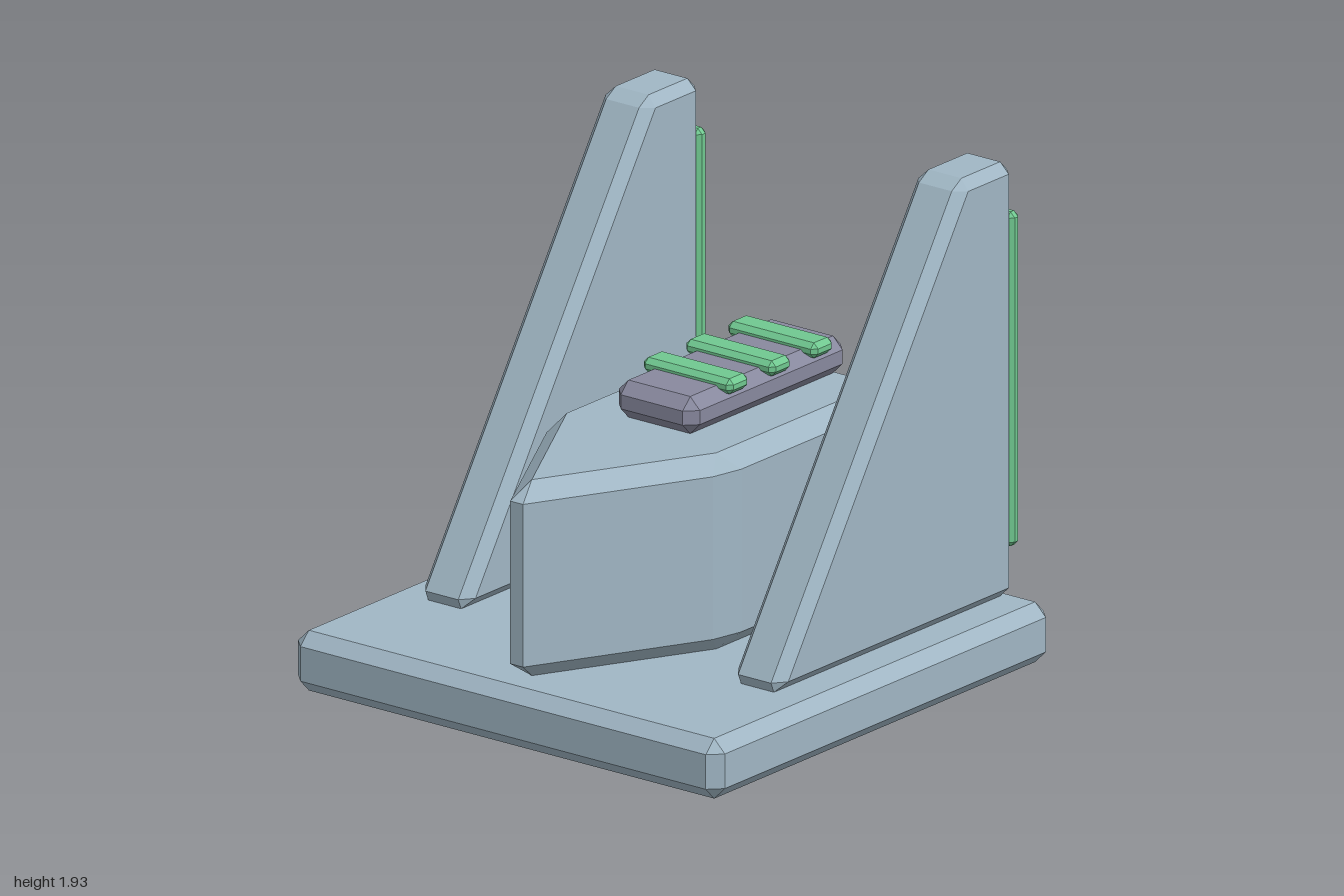
import * as THREE from 'three';
import { ConvexGeometry } from 'three/addons/geometries/ConvexGeometry.js';

const material = (name, color) => {
  const m = new THREE.MeshStandardMaterial({ color });
  m.name = name;
  return m;
};

// Box given by its limits, with every edge cut by a flat chamfer c
function chamferBox([x0, x1], [y0, y1], [z0, z1], c) {
  const points = [];
  for (const i of [0, 1]) for (const j of [0, 1]) for (const k of [0, 1]) {
    const x = i ? x1 : x0, y = j ? y1 : y0, z = k ? z1 : z0;
    const xi = i ? x1 - c : x0 + c, yi = j ? y1 - c : y0 + c, zi = k ? z1 - c : z0 + c;
    points.push(
      new THREE.Vector3(x, yi, zi),
      new THREE.Vector3(xi, y, zi),
      new THREE.Vector3(xi, yi, z));
  }
  return new ConvexGeometry(points);
}

// Convex prism with chamfered rims: inner outline at both ends, outer outline set in by c
function chamferPrism(inner, outer, low, high, c, place) {
  const points = [];
  for (const t of [low, high]) for (const [a, b] of inner) points.push(place(a, b, t));
  for (const t of [low + c, high - c]) for (const [a, b] of outer) points.push(place(a, b, t));
  return new ConvexGeometry(points);
}

export function createModel() {
  const model = new THREE.Group();
  model.name = 'model';
  const panel = material('paleBluePanel', 0xa0b6c4);
  const dark = material('greyViolet', 0x88899e);
  const green = material('greenTrim', 0x70c890);

  const add = (name, geometry, mat) => {
    const mesh = new THREE.Mesh(geometry, mat);
    mesh.name = name;
    model.add(mesh);
  };

  // Square base slab
  add('base', chamferBox([-1, 1], [0, 0.235], [-1, 1], 0.05), panel);

  // Pointed central body: half outlines in plan, mirrored across x
  const mirror = (half) => half.flatMap(([x, z]) => [[x, z], [-x, z]]);
  const bodyInner = [...mirror([[0.35, -0.78], [0.35, 0.18]]), [0, 0.83]];
  const bodyOuter = mirror([[0.35, -0.85], [0.42, -0.78], [0.42, 0.12], [0.39, 0.25], [0.03, 0.92]]);
  add('body', chamferPrism(bodyInner, bodyOuter, 0.235, 1, 0.065,
    (x, z, y) => new THREE.Vector3(x, y, z)), panel);

  // Dark block on the body with three green bars
  add('topBlock', chamferBox([-0.19, 0.19], [1, 1.145], [-0.815, 0.12], 0.045), dark);
  [-0.64, -0.39, -0.14].forEach((z, i) => {
    add(`topBar${i + 1}`, chamferBox([-0.21, 0.21], [1.115, 1.175], [z - 0.06, z + 0.06], 0.02), green);
  });

  // Side fins, outlines as [z, y], each with a green plate on its rear edge
  const finInner = [[0.385, 0.275], [-0.92, 0.275], [-0.92, 1.89], [-0.68, 1.89]];
  const finOuter = [[0.437, 0.275], [0.42, 0.235], [-0.92, 0.235], [-0.96, 0.275],
    [-0.96, 1.89], [-0.92, 1.93], [-0.69, 1.93], [-0.633, 1.895]];
  for (const [side, s] of [['left', 1], ['right', -1]]) {
    const cx = 0.733 * s;
    add(`${side}Fin`, chamferPrism(finInner, finOuter, cx - 0.117, cx + 0.117, 0.04,
      (z, y, x) => new THREE.Vector3(x, y, z)), panel);
    add(`${side}RearPlate`, chamferBox([cx - 0.128, cx + 0.128], [0.43, 1.735], [-0.982, -0.922], 0.02), green);
  }
  return model;
}
